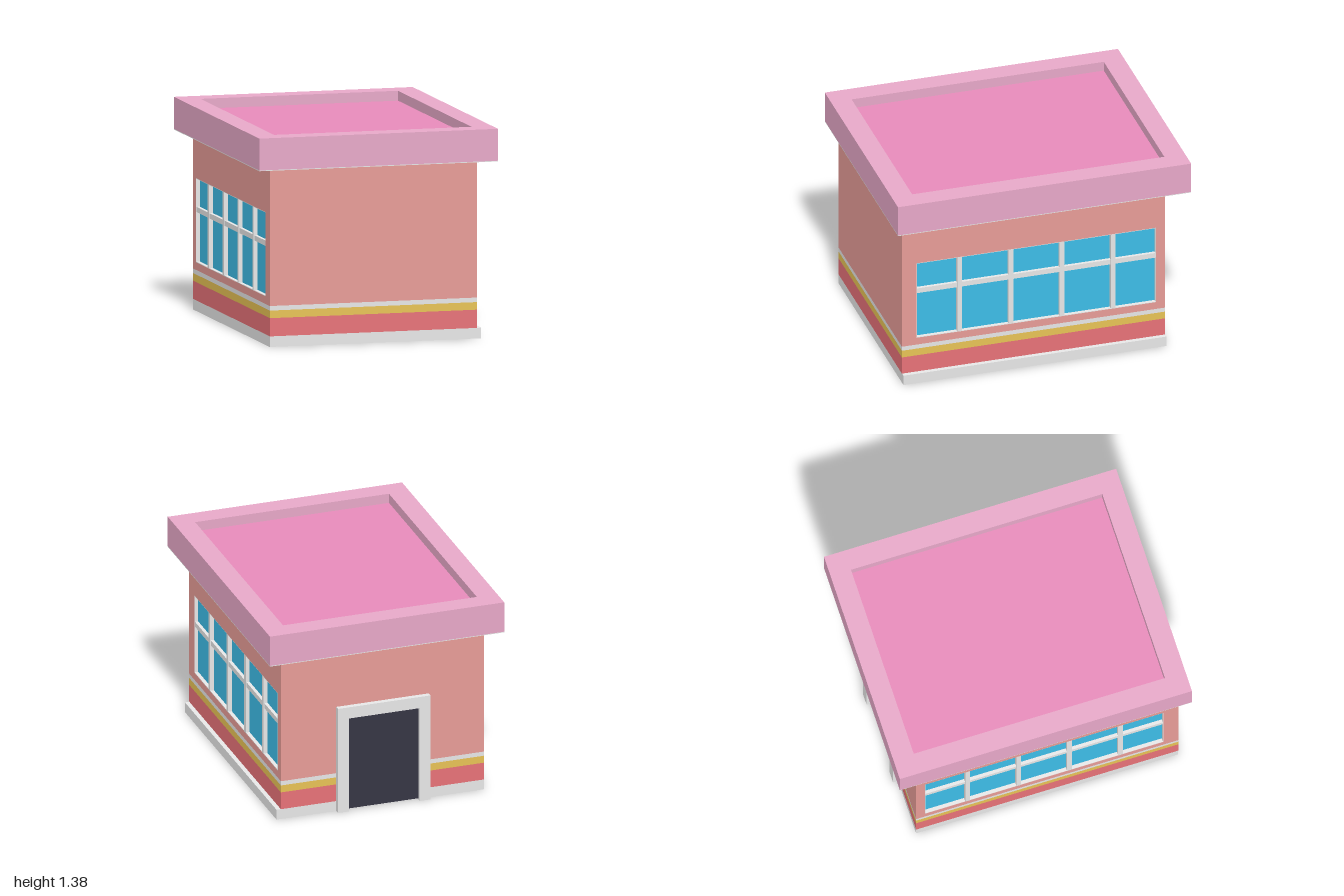
import * as THREE from 'three';

const mat = (name, color) => {
  const m = new THREE.MeshStandardMaterial({ color });
  m.name = name;
  return m;
};

export function createModel() {
  const model = new THREE.Group();
  model.name = 'building';

  const wallPaint = mat('salmon wall', 0xe79c97);
  const red = mat('red band', 0xe77278);
  const yellow = mat('yellow band', 0xe7c255);
  const trim = mat('light grey trim', 0xe7e7e7);
  const glass = mat('blue glass', 0x3dbee9);
  const rimPink = mat('pale pink rim', 0xe7a8c8);
  const roofPink = mat('pink roof', 0xe78bba);
  const doorDark = mat('dark door', 0x363544);

  // Box given by its limits on each axis
  const box = (name, material, [x0, x1], [y0, y1], [z0, z1], parent = model) => {
    const mesh = new THREE.Mesh(new THREE.BoxGeometry(x1 - x0, y1 - y0, z1 - z0), material);
    mesh.position.set((x0 + x1) / 2, (y0 + y1) / 2, (z0 + z1) / 2);
    mesh.name = name;
    parent.add(mesh);
    return mesh;
  };

  // Rectangle path, used for shapes and holes
  const rect = (path, x0, x1, y0, y1) => {
    path.moveTo(x0, y0);
    path.lineTo(x1, y0);
    path.lineTo(x1, y1);
    path.lineTo(x0, y1);
    path.closePath();
    return path;
  };
  const frameShape = (outer, inner) => {
    const shape = rect(new THREE.Shape(), ...outer);
    shape.holes.push(rect(new THREE.Path(), ...inner));
    return shape;
  };
  const extrude = (shape, depth) => new THREE.ExtrudeGeometry(shape, { depth, bevelEnabled: false });

  const L = -0.72, R = 0.685, F = 0.935, B = -0.86, T = 0.045;
  const baseTop = 0.07, bandTop = 0.27, eave = 1.17;
  const bands = [
    ['redBand', red, [baseTop, 0.19]],
    ['yellowBand', yellow, [0.19, 0.24]],
    ['whiteBand', trim, [0.24, bandTop]],
  ];

  // Plinth: open ring under the walls, wider on the +x side
  const baseR = 0.715, baseT = 0.03;
  box('plinthFront', trim, [L, baseR], [0, baseTop], [F - baseT, F - 0.002]);
  box('plinthBack', trim, [L, baseR], [0, baseTop], [B, B + baseT]);
  box('plinthLeft', trim, [baseR - baseT, baseR], [0, baseTop], [B + baseT, F - baseT]);
  box('plinthRight', trim, [L, L + baseT], [0, baseTop], [B + baseT, F - baseT]);

  // Solid front and back walls
  for (const [name, z] of [['front', [F - T, F]], ['back', [B, B + T]]]) {
    box(name + 'Wall', wallPaint, [L, R], [bandTop, eave], z);
    for (const [band, material, y] of bands) box(name + band, material, [L, R], y, z);
  }

  // Side walls, each with one long divided window
  const z0 = B + T, z1 = F - T;
  const win = [-0.80, 0.835, 0.32, 0.875];
  const lining = [win[0] + 0.004, win[1] - 0.004, win[2] + 0.004, win[3] - 0.004];
  const sideWall = (name, inner, sign) => {
    const side = new THREE.Group();
    side.name = name;
    const outer = inner + sign * T;
    const x = [Math.min(inner, outer), Math.max(inner, outer)];
    for (const [band, material, y] of bands) box(band, material, x, y, [z0, z1], side);

    const panel = new THREE.Mesh(extrude(frameShape([z0, z1, bandTop, eave], win), T), wallPaint);
    panel.name = 'wallPanel';
    panel.rotation.y = -Math.PI / 2;
    panel.position.x = x[1];
    side.add(panel);

    const reveal = new THREE.Mesh(extrude(frameShape(win, lining), T - 0.002), trim);
    reveal.name = 'windowLining';
    reveal.rotation.y = -Math.PI / 2;
    reveal.position.x = x[1] - 0.001;
    side.add(reveal);

    // Glass sits back from the outer face
    const g = outer - sign * 0.03;
    box('glass', glass, [g - 0.004, g + 0.004], [win[2], win[3]], [win[0], win[1]], side);
    for (const z of [0.54, 0.19, -0.157, -0.507]) {
      box('mullion', trim, x, [win[2], win[3]], [z - 0.0165, z + 0.0165], side);
    }
    box('transom', trim, [x[0] + 0.004, x[1] - 0.004], [0.65, 0.685], [win[0], win[1]], side);
    model.add(side);
  };
  sideWall('leftSide', R - T, 1);
  sideWall('rightSide', L + T, -1);

  // Back door with surround
  const cx = -0.0175;
  const zFrame = [-0.895, -0.81];
  for (const s of [-1, 1]) {
    const a = cx + s * 0.245, b = cx + s * 0.32;
    box('doorJamb', trim, [Math.min(a, b), Math.max(a, b)], [0, 0.665], zFrame);
  }
  box('doorLintel', trim, [cx - 0.32, cx + 0.32], [0.665, 0.745], zFrame);
  box('door', doorDark, [cx - 0.245, cx + 0.245], [0.008, 0.665], [-0.868, -0.8]);
  box('threshold', trim, [cx - 0.245, cx + 0.245], [0, 0.008], [-0.868, -0.79]);

  // Flat roof: raised rim around a sunken deck, grey soffit below
  const rim = new THREE.Mesh(extrude(frameShape([-0.81, 0.81, -1, 1], [-0.67, 0.67, -0.86, 0.86]), 0.21), rimPink);
  rim.name = 'roofRim';
  rim.rotation.x = -Math.PI / 2;
  rim.position.y = 1.175;
  model.add(rim);
  box('roofDeck', roofPink, [-0.67, 0.67], [1.28, 1.32], [-0.86, 0.86]);
  box('soffit', trim, [-0.81, 0.81], [eave, 1.175], [-1, 1]);

  return model;
}
